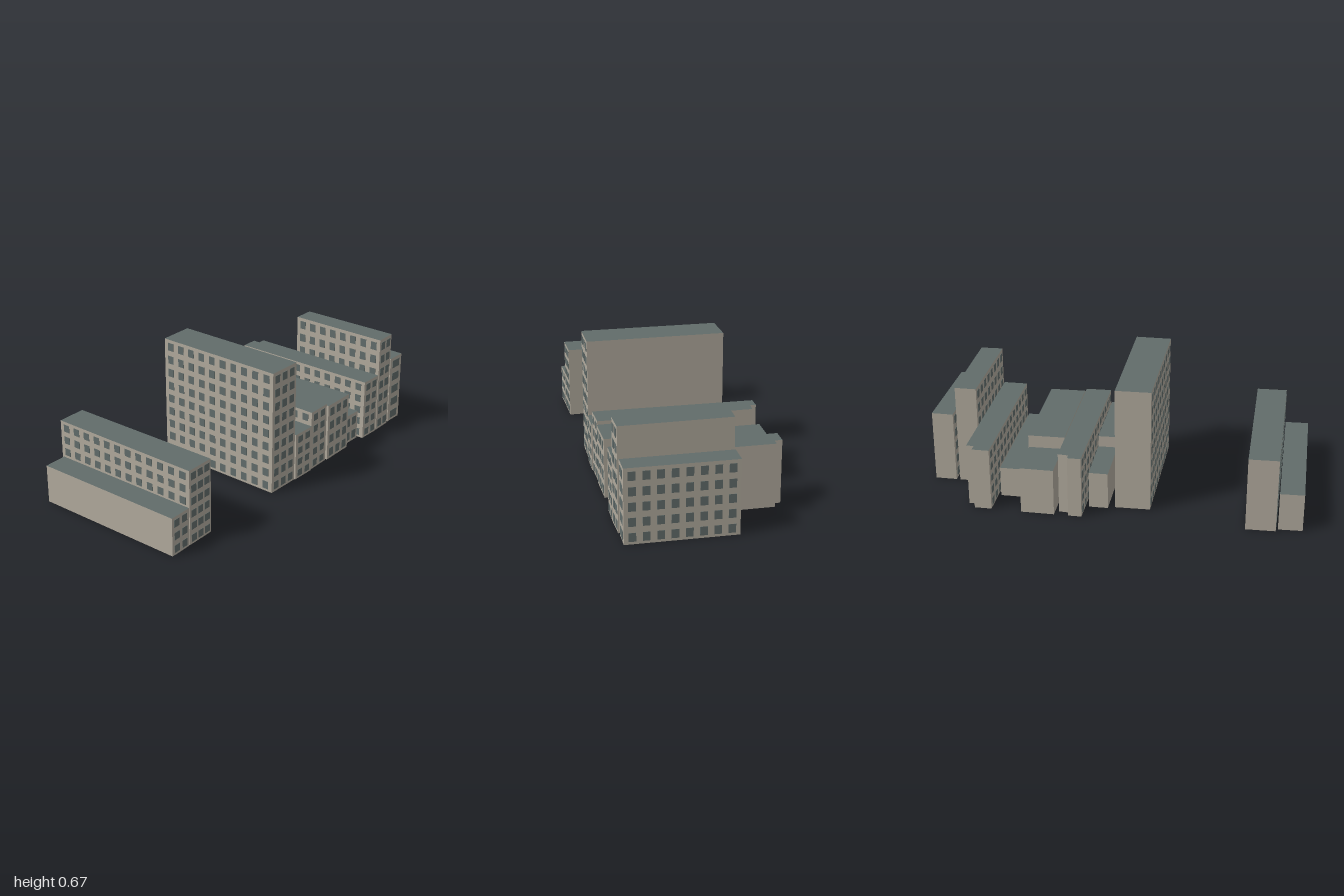
import * as THREE from 'three';
import { mergeGeometries } from 'three/addons/utils/BufferGeometryUtils.js';

const wallMat = new THREE.MeshStandardMaterial({ color: 0xb0a99c, side: THREE.DoubleSide });
wallMat.name = 'stone wall';
const slateMat = new THREE.MeshStandardMaterial({ color: 0x616c6a, side: THREE.DoubleSide });
slateMat.name = 'slate and glass';

// Footprints as [x, z]: back left corner first, then round by the right to the front left.
// front, left and right give the number of window columns on those walls.
const buildings = [
  { name: 'lowEndBlock', h: 0.205, rows: 3, front: 2,
    plan: [[-1, -0.40], [-0.875, -0.405], [-0.865, 0.435], [-0.99, 0.44]] },
  { name: 'endBlock', h: 0.40, rows: 6, front: 3, left: 12,
    plan: [[-0.865, -0.425], [-0.71, -0.43], [-0.70, 0.43], [-0.86, 0.435]] },
  { name: 'tower', h: 0.67, rows: 9, front: 3, left: 10,
    plan: [[-0.205, -0.31], [-0.02, -0.315], [-0.02, 0.42], [-0.21, 0.42]] },
  { name: 'smallBlock', h: 0.26, rows: 4, front: 2, left: 6,
    plan: [[-0.015, -0.015], [0.12, -0.02], [0.12, 0.425], [-0.015, 0.425]] },
  { name: 'smallRearWing', h: 0.2, rows: 3,
    plan: [[0.015, -0.33], [0.115, -0.33], [0.12, -0.022], [0.015, -0.02]] },
  { name: 'steppedBlock', h: 0.335, rows: 5, front: 2, left: 12,
    plan: [[0.135, -0.44], [0.205, -0.44], [0.205, -0.41], [0.26, -0.405], [0.265, 0.415], [0.125, 0.42]] },
  { name: 'wideBlock', h: 0.32, rows: 4, front: 3, left: 8,
    plan: [[0.27, -0.185], [0.465, -0.19], [0.47, 0.415], [0.275, 0.42]] },
  { name: 'wideRearWing', h: 0.255, rows: 3,
    plan: [[0.28, -0.44], [0.455, -0.44], [0.46, -0.195], [0.28, -0.19]] },
  { name: 'lowBlock', h: 0.165, rows: 2, front: 2, left: 9,
    plan: [[0.475, -0.285], [0.6, -0.285], [0.6, 0.39], [0.475, 0.39]] },
  { name: 'notchedBlock', h: 0.34, rows: 5, front: 2, left: 12,
    plan: [[0.615, -0.435], [0.705, -0.435], [0.705, -0.395], [0.745, -0.395], [0.745, 0.42], [0.615, 0.42]] },
  { name: 'tallBlock', h: 0.548, rows: 7, front: 2, left: 8,
    plan: [[0.75, -0.15], [0.865, -0.15], [0.87, 0.415], [0.75, 0.42]] },
  { name: 'cornerBlock', h: 0.39, rows: 5, front: 1, left: 8, right: 8, frontWidth: 0.065,
    plan: [[0.885, -0.15], [1, -0.15], [0.995, 0.41], [0.885, 0.41]] },
];

// Turns a geometry drawn in the xy plane so it stands on the wall from a to b, facing out
function onWall(geo, a, b) {
  const dx = b[0] - a[0], dz = b[1] - a[1];
  return geo.rotateY(Math.atan2(dz, -dx)).translate((a[0] + b[0]) / 2, 0, (a[1] + b[1]) / 2);
}

// Grid of thin panes spread evenly over one wall
function panes(a, b, cols, rows, h, width = 0.037) {
  const length = Math.hypot(b[0] - a[0], b[1] - a[1]);
  const dy = h / rows, dx = (length - 0.012) / cols, list = [];
  for (let r = 0; r < rows; r++) {
    for (let c = 0; c < cols; c++) {
      const pane = new THREE.BoxGeometry(width, dy * 0.58, 0.004);
      pane.translate((c - (cols - 1) / 2) * dx, dy * (r + 0.47), 0);
      list.push(onWall(pane, a, b));
    }
  }
  return list;
}

function part(group, name, geo, mat) {
  const mesh = new THREE.Mesh(geo, mat);
  mesh.name = name;
  group.add(mesh);
}

function makeBuilding({ name, plan, h, rows, front = 0, left = 0, right = 0, frontWidth }) {
  const group = new THREE.Group();
  group.name = name;
  const n = plan.length;

  // Walls, open underneath
  const walls = plan.map((a, i) => {
    const b = plan[(i + 1) % n];
    const length = Math.hypot(b[0] - a[0], b[1] - a[1]);
    return onWall(new THREE.PlaneGeometry(length, h).translate(0, h / 2, 0), a, b);
  });
  part(group, 'walls', mergeGeometries(walls), wallMat);

  // Flat roof
  const shape = new THREE.Shape(plan.map(([x, z]) => new THREE.Vector2(x, -z)));
  part(group, 'roof', new THREE.ShapeGeometry(shape).rotateX(-Math.PI / 2).translate(0, h, 0), slateMat);

  // Windows
  const windows = [
    ...panes(plan[n - 2], plan[n - 1], front, rows, h, frontWidth),
    ...panes(plan[n - 1], plan[0], left, rows, h),
    ...panes(plan[n - 3], plan[n - 2], right, rows, h),
  ];
  if (windows.length) part(group, 'windows', mergeGeometries(windows), slateMat);
  return group;
}

export function createModel() {
  const model = new THREE.Group();
  model.name = 'cityBlock';
  for (const b of buildings) model.add(makeBuilding(b));
  return model;
}
